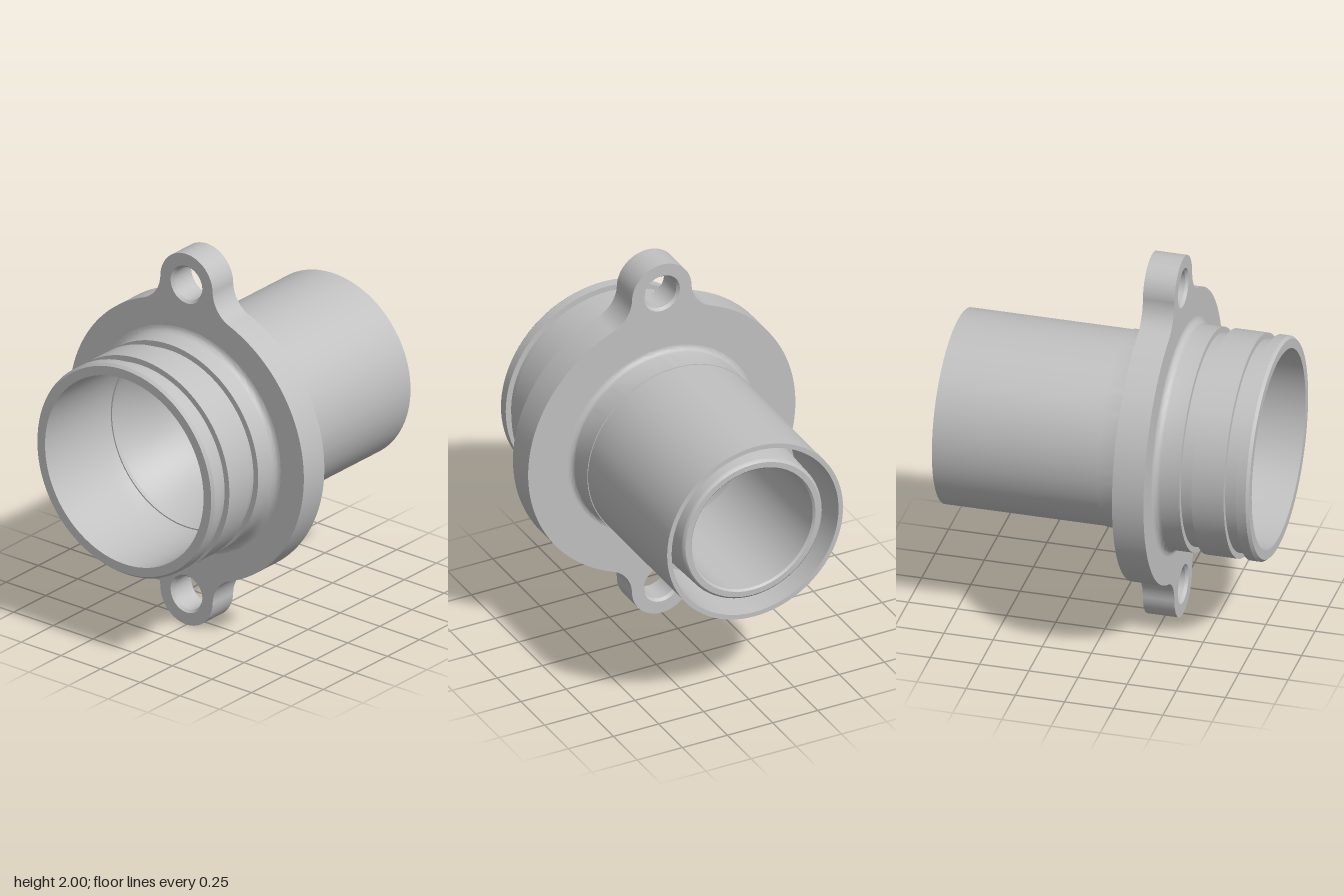
import * as THREE from 'three';
import { toCreasedNormals } from 'three/addons/utils/BufferGeometryUtils.js';

const castMetal = new THREE.MeshStandardMaterial({ color: 0xc0c0c0 });
castMetal.name = 'castMetal';

// Revolve a profile of [axial x, radius] points around the x axis
function turned(name, profile, segments) {
  const points = profile.map(([x, r]) => new THREE.Vector2(r, x));
  const geometry = toCreasedNormals(new THREE.LatheGeometry(points, segments), 0.6);
  geometry.rotateZ(-Math.PI / 2);
  const mesh = new THREE.Mesh(geometry, castMetal);
  mesh.name = name;
  return mesh;
}

// Quarter-round between two tangent directions, as profile points
function fillet(cx, cr, radius, from, to, steps = 6) {
  return Array.from({ length: steps + 1 }, (_, i) => {
    const a = from + (to - from) * i / steps;
    return [cx + radius * Math.cos(a), cr + radius * Math.sin(a)];
  });
}

const LEFT = -0.33, RIGHT = -0.17, LUG_Y = 0.835;

// Round flange outline blended into a bolt lug at the top and bottom
function flangeGeometry() {
  const R = 0.74, lug = 0.165, f = 0.165;
  const cz = lug + f, cy = Math.sqrt((R + f) ** 2 - cz ** 2);
  const a = Math.atan2(cy, cz), PI = Math.PI;
  const shape = new THREE.Shape();
  shape.absarc(0, 0, R, -a, a, false);
  shape.absarc(cz, cy, f, a + PI, PI, true);
  shape.absarc(0, LUG_Y, lug, 0, PI, false);
  shape.absarc(-cz, cy, f, 0, -a, true);
  shape.absarc(0, 0, R, PI - a, PI + a, false);
  shape.absarc(-cz, -cy, f, a, 0, true);
  shape.absarc(0, -LUG_Y, lug, PI, 2 * PI, false);
  shape.absarc(cz, -cy, f, PI, PI - a, true);
  const holes = [[0, 0.47], [LUG_Y, 0.1], [-LUG_Y, 0.1]];
  for (const [y, r] of holes) {
    shape.holes.push(new THREE.Path().absarc(0, y, r, 0, 2 * PI, true));
  }
  const geometry = new THREE.ExtrudeGeometry(shape, {
    depth: RIGHT - LEFT, bevelEnabled: false, curveSegments: 48,
  });
  geometry.rotateY(PI / 2);
  geometry.translate(LEFT, 0, 0);
  return toCreasedNormals(geometry, 0.6);
}

export function createModel() {
  const group = new THREE.Group();
  group.name = 'flangedPipeFitting';
  const PI = Math.PI;

  // Spigot with two seal grooves, left of the flange, funnelling into the bore
  group.add(turned('groovedSpigot', [
    [0.05, 0.335], [-0.02, 0.345], [-0.12, 0.385], [-0.26, 0.455], [-0.34, 0.48], [-0.42, 0.49],
    [-0.815, 0.5], [-0.815, 0.548], [-0.8, 0.56],
    [-0.75, 0.56], [-0.75, 0.53], [-0.688, 0.53], [-0.688, 0.56],
    [-0.525, 0.56], [-0.525, 0.53], [-0.463, 0.53], [-0.463, 0.56],
    ...fillet(-0.365, 0.595, 0.035, -PI / 2, 0),
  ], 96));

  // Flange with bolt lugs
  const flange = new THREE.Mesh(flangeGeometry(), castMetal);
  flange.name = 'flange';
  group.add(flange);

  // Chamfered bolt hole linings
  for (const side of [1, -1]) {
    const hole = turned(side > 0 ? 'upperBoltHole' : 'lowerBoltHole', [
      [RIGHT, 0.1], [RIGHT - 0.015, 0.088], [LEFT + 0.015, 0.088], [LEFT, 0.1],
    ], 40);
    hole.position.y = side * LUG_Y;
    group.add(hole);
  }

  // Outer sleeve, drafted annular pocket and inner tube on the right
  group.add(turned('doubleWallTube', [
    ...fillet(-0.14, 0.521, 0.03, PI, PI * 1.5),
    [-0.02, 0.491], [-0.02, 0.487], [0.815, 0.487], [0.815, 0.462],
    [0.4, 0.44], [0.4, 0.4], [0.775, 0.388],
    [0.787, 0.384], [0.795, 0.374], [0.795, 0.345], [0.785, 0.335], [0.05, 0.335],
  ], 96));

  group.position.y = 1;
  const root = new THREE.Group();
  root.add(group);
  return root;
}
